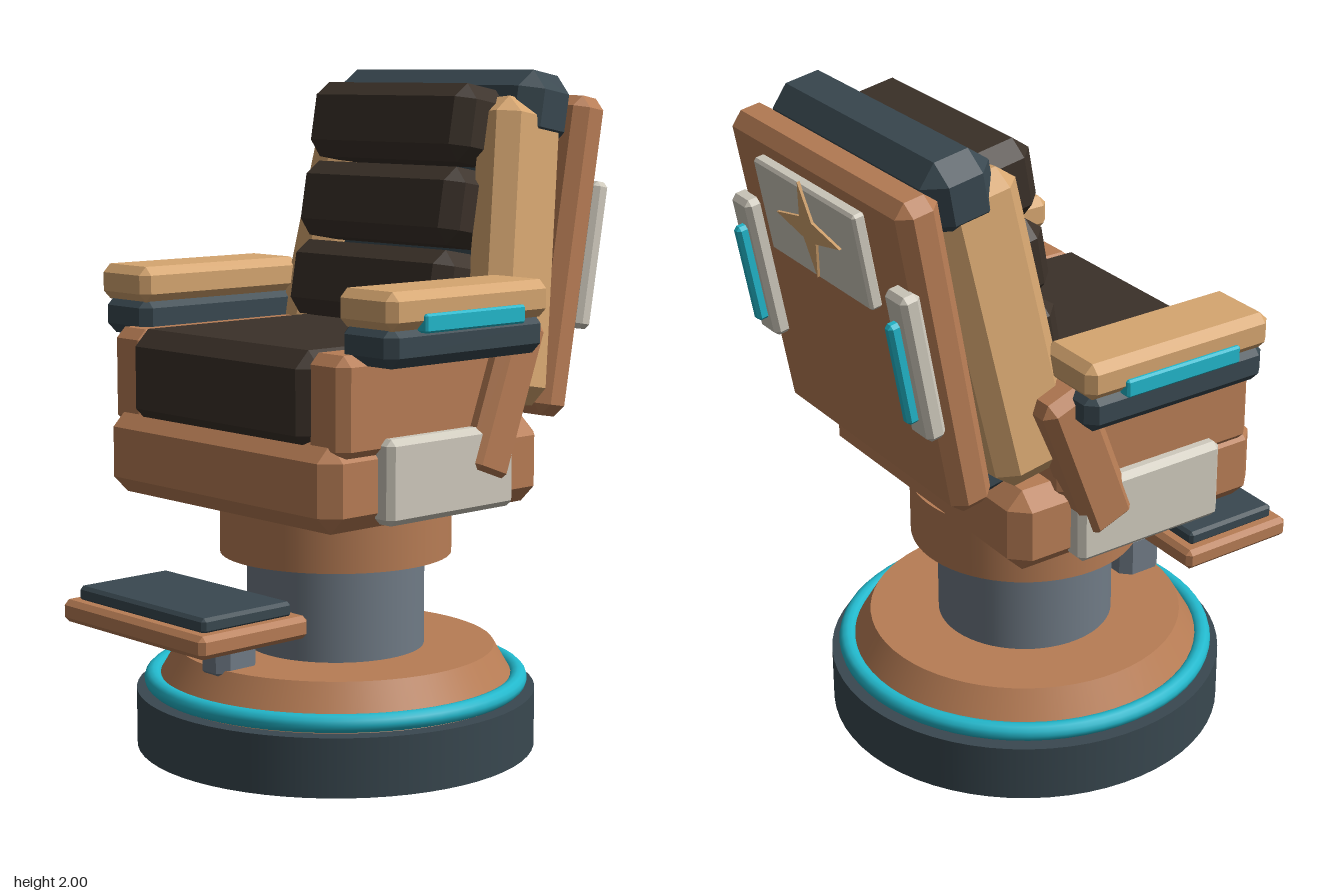
import * as THREE from 'three';
import { ConvexGeometry } from 'three/addons/geometries/ConvexGeometry.js';

const mat = (name, color) => new THREE.MeshStandardMaterial({ name, color });

export function createModel() {
  const model = new THREE.Group();
  model.name = 'swivelChair';
  const brown = mat('brown leather', 0xb87d55);
  const tan = mat('tan leather', 0xd6a670);
  const dark = mat('dark cushion', 0x3b3129);
  const navy = mat('blue grey', 0x394850);
  const grey = mat('steel', 0x707b86);
  const cyan = mat('cyan light', 0x22b8cc);
  const white = mat('off white', 0xcfcabd);

  function add(parent, name, geometry, material, x = 0, y = 0, z = 0) {
    const mesh = new THREE.Mesh(geometry, material);
    mesh.name = name;
    mesh.position.set(x, y, z);
    parent.add(mesh);
    return mesh;
  }

  // Box with every edge chamfered by c
  function chamferBox(w, h, d, c) {
    const points = [];
    for (const sx of [-1, 1]) for (const sy of [-1, 1]) for (const sz of [-1, 1]) {
      for (let full = 0; full < 3; full++) {
        const inset = (axis) => (axis === full ? 0 : c);
        points.push(new THREE.Vector3(
          sx * (w / 2 - inset(0)), sy * (h / 2 - inset(1)), sz * (d / 2 - inset(2))));
      }
    }
    return new ConvexGeometry(points);
  }

  // Chamfered box given by its limits on each axis
  function block(parent, name, material, [x0, x1], [y0, y1], [z0, z1], c) {
    return add(parent, name, chamferBox(x1 - x0, y1 - y0, z1 - z0, c), material,
      (x0 + x1) / 2, (y0 + y1) / 2, (z0 + z1) / 2);
  }

  // Round pedestal
  const cz = -0.012;
  const drum = (name, material, top, bottom, y0, y1) =>
    add(model, name, new THREE.CylinderGeometry(top, bottom, y1 - y0, 64), material, 0, (y0 + y1) / 2, cz);
  drum('baseDisc', navy, 0.597, 0.597, 0, 0.172);
  drum('baseSkirt', brown, 0.475, 0.55, 0.172, 0.3);
  drum('column', grey, 0.265, 0.265, 0.29, 0.6);
  drum('seatCollar', brown, 0.345, 0.345, 0.58, 0.76);
  add(model, 'baseLightRing', new THREE.TorusGeometry(0.547, 0.027, 12, 64), cyan, 0, 0.2, cz).rotation.x = Math.PI / 2;

  // Footrest
  block(model, 'footrestPost', grey, [-0.06, 0.06], [0.26, 0.445], [0.33, 0.48], 0.03);
  block(model, 'footrestPlate', brown, [-0.317, 0.317], [0.43, 0.495], [0.375, 0.765], 0.015);
  block(model, 'footrestPad', navy, [-0.282, 0.282], [0.49, 0.535], [0.41, 0.73], 0.01);

  // Seat
  block(model, 'seatBase', brown, [-0.5, 0.5], [0.75, 1.0], [-0.385, 0.47], 0.05);
  block(model, 'seatCushion', dark, [-0.4, 0.4], [0.965, 1.245], [-0.34, 0.46], 0.048);

  // Side panels, brackets and armrests
  for (const s of [1, -1]) {
    const side = new THREE.Group();
    side.name = s > 0 ? 'leftSide' : 'rightSide';
    model.add(side);
    const X = (a, b) => (s > 0 ? [a, b] : [-b, -a]);
    block(side, 'sidePanel', brown, X(0.35, 0.51), [0.95, 1.24], [-0.24, 0.43], 0.03);
    block(side, 'sidePlate', white, X(0.47, 0.55), [0.765, 1.005], [-0.205, 0.29], 0.018);
    add(side, 'armBracket', chamferBox(0.13, 0.48, 0.165, 0.03), brown, s * 0.5, 1.08, -0.175).rotation.x = -0.36;
    block(side, 'armBody', navy, X(0.42, 0.632), [1.21, 1.325], [-0.24, 0.37], 0.03);
    block(side, 'armPad', tan, X(0.415, 0.64), [1.312, 1.418], [-0.248, 0.375], 0.025);
    block(side, 'armLight', cyan, X(0.61, 0.652), [1.303, 1.355], [-0.13, 0.257], 0.006);
  }

  // Reclined backrest, built upright in its own frame
  const back = new THREE.Group();
  back.name = 'backrest';
  back.position.set(0, 1.45, -0.56);
  back.rotation.x = -0.175;
  model.add(back);
  block(back, 'backShell', brown, [-0.455, 0.455], [-0.475, 0.475], [-0.065, 0.065], 0.035);
  block(back, 'backCore', navy, [-0.38, 0.38], [-0.505, 0.38], [0.05, 0.24], 0.03);
  block(back, 'headrest', navy, [-0.43, 0.43], [0.3, 0.52], [0.045, 0.26], 0.055);
  for (let i = 0; i < 3; i++) {
    add(back, 'backCushion', chamferBox(0.68, 0.228, 0.21, 0.045), dark, 0, 0.335 - i * 0.242, 0.328);
  }
  for (const s of [1, -1]) {
    add(back, 'sideBolster', chamferBox(0.17, 0.885, 0.265, 0.05), tan, s * 0.378, -0.012, 0.2).rotation.z = s * 0.107;
    add(back, 'rearPod', chamferBox(0.1, 0.44, 0.06, 0.015), white, s * 0.405, 0.015, -0.078);
    add(back, 'rearPodLight', chamferBox(0.036, 0.305, 0.045, 0.01), cyan, s * 0.4, 0.004, -0.116);
  }

  // Rear plate with four-pointed star
  block(back, 'rearPlate', white, [-0.262, 0.262], [0.125, 0.408], [-0.1, -0.06], 0.008);
  const star = new THREE.Shape();
  for (let i = 0; i < 8; i++) {
    const r = i % 2 ? 0.045 : i % 4 ? 0.145 : 0.165;
    const a = (i * Math.PI) / 4;
    star[i ? 'lineTo' : 'moveTo'](r * Math.cos(a), r * Math.sin(a));
  }
  star.closePath();
  add(back, 'rearStar', new THREE.ExtrudeGeometry(star, { depth: 0.009, bevelEnabled: false }), tan, 0, 0.28, -0.108);

  return model;
}
